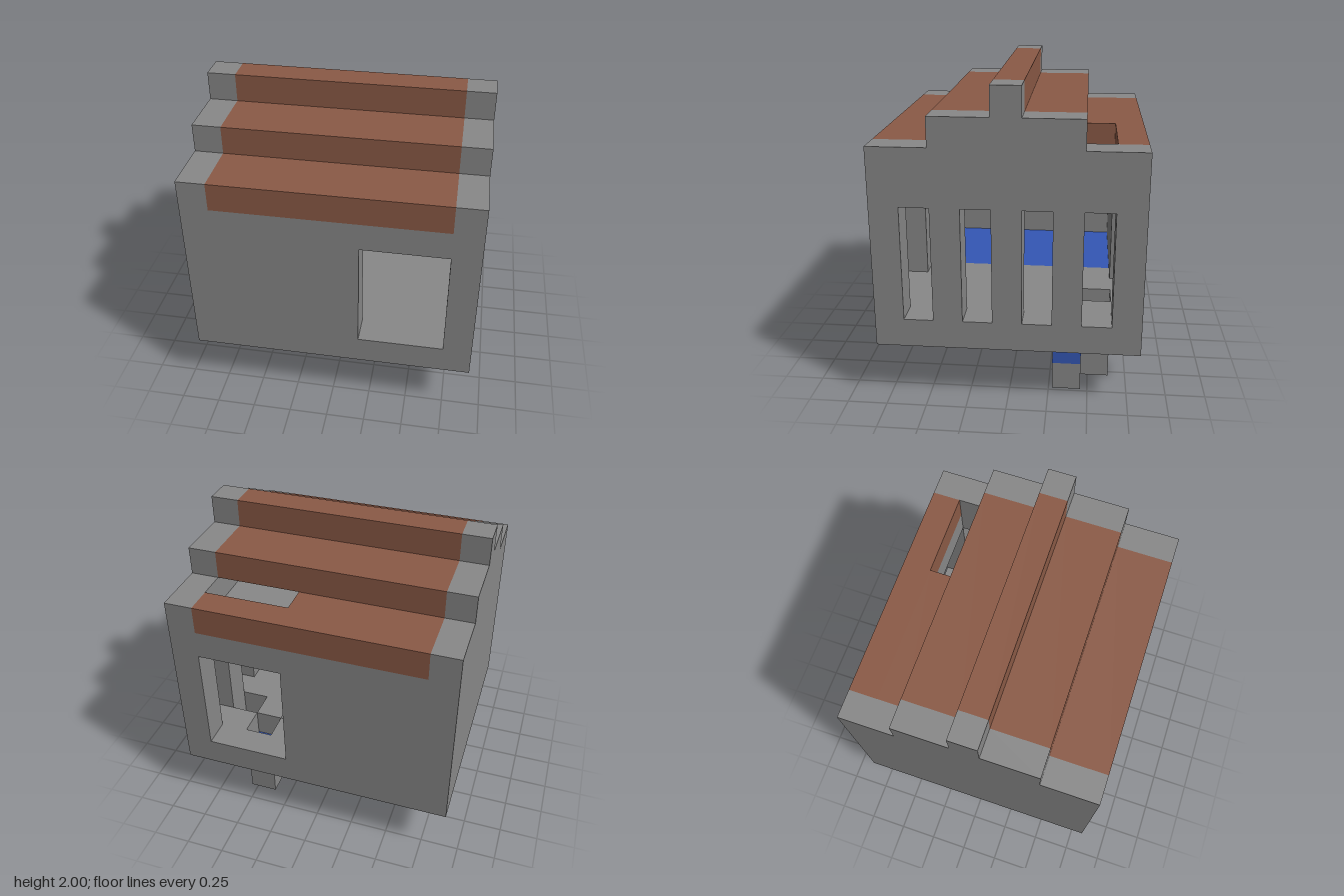
import * as THREE from 'three';

const U = 2 / 11; // one building block

export function createModel() {
  const group = new THREE.Group();
  const mat = (name, color) => {
    const m = new THREE.MeshStandardMaterial({ color });
    m.name = name;
    return m;
  };
  const stone = mat('stone grey', 0x888888);
  const clay = mat('roof brown', 0x8b5a46);
  const water = mat('water blue', 0x3457b5);

  const add = (name, geometry, material) => {
    const mesh = new THREE.Mesh(geometry, material);
    mesh.name = name;
    group.add(mesh);
  };
  // Box given by its extents, in blocks
  const box = (name, material, x0, x1, y0, y1, z0, z1) => {
    const g = new THREE.BoxGeometry(x1 - x0, y1 - y0, z1 - z0);
    g.translate((x0 + x1) / 2, (y0 + y1) / 2, (z0 + z1) / 2);
    add(name, g, material);
  };
  const rect = (x0, x1, y0, y1) => [[x0, y0], [x1, y0], [x1, y1], [x0, y1]];
  // One-block-thick slab with openings
  const slab = (outline, holes) => {
    const points = (list) => list.map(([x, y]) => new THREE.Vector2(x, y));
    const shape = new THREE.Shape(points(outline));
    holes.forEach((h) => shape.holes.push(new THREE.Path(points(h))));
    return new THREE.ExtrudeGeometry(shape, { depth: 1, bevelEnabled: false });
  };

  // Front and back walls with a doorway each
  for (const [name, z] of [['frontWall', 3.5], ['backWall', -4.5]]) {
    add(name, slab(rect(-4, 4, 2, 8), [rect(1, 4, 3, 7)]).translate(0, 0, z), stone);
  }

  // Stepped gable walls; only the +x one has windows
  const half = [[4.5, 2], [4.5, 9], [2.5, 9], [2.5, 10], [0.5, 10], [0.5, 11]];
  const gable = [...half, ...half.map(([z, y]) => [-z, y]).reverse()];
  const windows = [-3.5, -1.5, 0.5, 2.5].map((z) => rect(z, z + 1, 3, 7));
  for (const [name, x, holes] of [['leftGable', 5, windows], ['rightGable', -4, []]]) {
    add(name, slab(gable, holes).rotateY(-Math.PI / 2).translate(x, 0, 0), stone);
  }

  // Floor with three well shafts, and ceiling with a skylight shaft
  const wells = [[1, -2.5], [2, -3.5], [3, -2.5]];
  // Rows of floor blocks around the shafts
  box('floor', stone, 0, 4, 2, 3, -1.5, 3.5);
  for (const z of [-3.5, -2.5]) {
    for (let x = 0; x < 4; x++) {
      if (!wells.some(([wx, wz]) => wx === x && wz === z)) box('floorBlock', stone, x, x + 1, 2, 3, z, z + 1);
    }
  }
  box('ceiling', stone, -4, 4, 7, 8, -2.5, 3.5);
  box('ceilingBack', stone, -4, 1, 7, 8, -3.5, -2.5);

  // Wells hanging below the floor
  for (const [x, z] of wells) {
    box('wellWater', water, x, x + 1, 1, 2, z, z + 1);
    box('wellBase', stone, x, x + 1, 0, 1, z, z + 1);
  }

  // Indoor pool and its base
  box('poolWater', water, -4, 0, 2, 3, -3.5, 3.5);
  box('poolBase', stone, -4, 0, 1, 2, -3.5, 3.5);

  // Stepped roof, open over the skylight at the back
  box('frontEave', clay, -4, 4, 8, 9, 2.5, 4.5);
  box('backEave', clay, -4, 4, 8, 9, -4.5, -3.5);
  box('backEaveInner', clay, -4, 1, 8, 9, -3.5, -2.5);
  box('frontRoofStep', clay, -4, 4, 9, 10, 0.5, 2.5);
  box('backRoofStep', clay, -4, 4, 9, 10, -2.5, -0.5);
  box('ridge', clay, -4, 4, 10, 11, -0.5, 0.5);

  group.scale.setScalar(U);
  return group;
}
